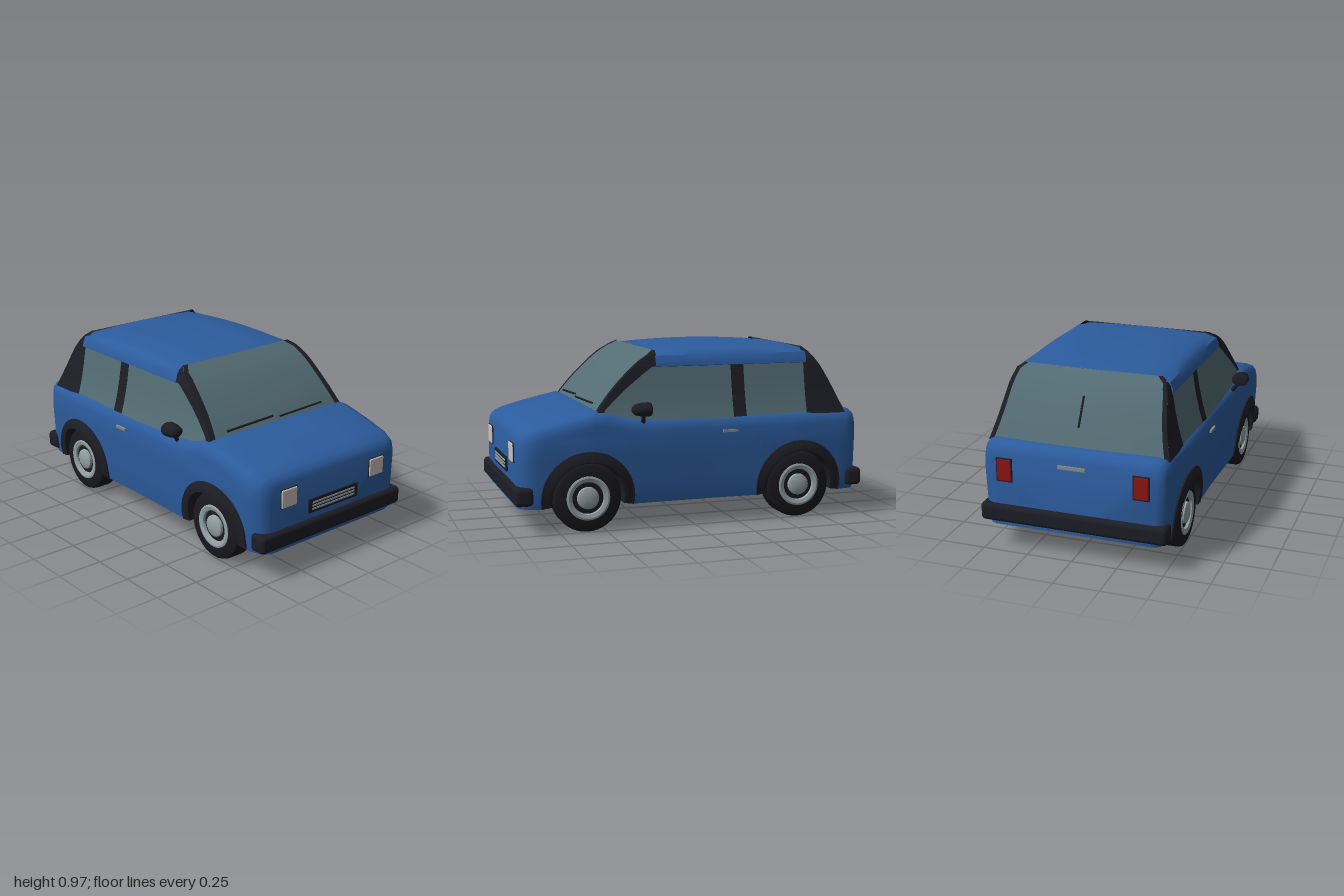
import * as THREE from 'three';
import { toCreasedNormals } from 'three/addons/utils/BufferGeometryUtils.js';
import { RoundedBoxGeometry } from 'three/addons/geometries/RoundedBoxGeometry.js';

const paint = (name, color) => {
  const m = new THREE.MeshStandardMaterial({ color, side: THREE.DoubleSide });
  m.name = name;
  return m;
};

// Piecewise linear lookup in a list of [input, output] pairs
function lerpIn(table, t) {
  if (t <= table[0][0]) return table[0][1];
  for (let i = 1; i < table.length; i++) {
    const [a, va] = table[i - 1], [b, vb] = table[i];
    if (t <= b) return va + (vb - va) * (t - a) / (b - a);
  }
  return table[table.length - 1][1];
}

// Surface through rows of [x, y, z] points
function loft(rows, crease = 0.6) {
  const pos = [];
  const tri = (a, b, c) => {
    const same = (p, q) => p.every((v, i) => Math.abs(v - q[i]) < 1e-6);
    if (!same(a, b) && !same(b, c) && !same(a, c)) pos.push(...a, ...b, ...c);
  };
  for (let i = 0; i + 1 < rows.length; i++)
    for (let j = 0; j + 1 < rows[i].length; j++) {
      const a = rows[i][j], b = rows[i + 1][j], c = rows[i + 1][j + 1], d = rows[i][j + 1];
      tri(a, b, c);
      tri(a, c, d);
    }
  const g = new THREE.BufferGeometry();
  g.setAttribute('position', new THREE.Float32BufferAttribute(pos, 3));
  return toCreasedNormals(g, crease);
}
const steps = (a, b, n) => Array.from({ length: n + 1 }, (_, i) => a + (b - a) * i / n);

// Body outline rules
const WHEELS = [-0.61, 0.6], AXLE = 0.185, ARCH = 0.24, FLOOR = 0.14;
const bodyTop = [[-0.975, 0.54], [-0.96, 0.575], [-0.94, 0.592], [-0.9, 0.6], [0.25, 0.6], [0.4, 0.612], [0.5, 0.638],
  [0.56, 0.642], [0.75, 0.602], [0.88, 0.568], [0.93, 0.55], [0.955, 0.53], [0.968, 0.5]];
const bodyWidth = [[-0.975, 0.45], [-0.96, 0.482], [-0.94, 0.497], [-0.9, 0.508], [-0.6, 0.522], [-0.1, 0.515], [0.6, 0.528],
  [0.88, 0.512], [0.93, 0.495], [0.955, 0.47], [0.968, 0.435]];
const bodyBulge = [[0.14, 0.965], [0.2, 0.985], [0.35, 1], [0.45, 1.01], [0.53, 1]];
const sideZ = (x, y) => lerpIn(bodyWidth, x) * lerpIn(bodyBulge, y);
function bodyBottom(x) {
  for (const c of WHEELS) {
    const d = Math.abs(x - c);
    if (d <= ARCH + 1e-6) return AXLE + Math.sqrt(Math.max(0, ARCH * ARCH - d * d));
  }
  return FLOOR;
}
function bodySection(x) {
  const w = lerpIn(bodyWidth, x), top = lerpIn(bodyTop, x), low = bodyBottom(x), shoulder = top - 0.07;
  const half = steps(low, shoulder, 6).map(y => [x, y, sideZ(x, y)]);
  half.push([x, top - 0.035, 0.988 * w], [x, top - 0.011, 0.95 * w], [x, top, 0.88 * w], [x, top + 0.005, 0.45 * w]);
  return [...half, [x, top + 0.007, 0], ...half.slice().reverse().map(([a, b, c]) => [a, b, -c])];
}

// Cabin outline rules, all by height
const cabinZ = [[0.58, 0.497], [0.65, 0.476], [0.75, 0.453], [0.865, 0.434], [0.925, 0.415], [0.95, 0.38]];
const screenX = [[0.58, 0.575], [0.65, 0.53], [0.72, 0.475], [0.78, 0.42], [0.84, 0.358], [0.89, 0.3], [0.95, 0.2]];
const rearX = [[0.58, -0.895], [0.69, -0.845], [0.77, -0.805], [0.84, -0.765], [0.9, -0.72], [0.95, -0.67]];

export function createModel() {
  const car = new THREE.Group();
  car.name = 'car';
  const blue = paint('blue paint', 0x2c5c9e), black = paint('black trim', 0x1d1d26), glass = paint('window glass', 0x536c74),
    silver = paint('silver', 0x94a2a6), lamp = paint('headlight lens', 0xcdc4bb), red = paint('tail light red', 0x8c1515),
    handleGrey = paint('handle grey', 0x8c8a82), tyreBlack = paint('tyre rubber', 0x19191f);
  const add = (name, geo, mat, parent = car) => {
    const m = new THREE.Mesh(geo, mat);
    m.name = name;
    parent.add(m);
    return m;
  };
  const box = (name, mat, x, y, z, sx, sy, sz, r = 0) => {
    const g = r ? new RoundedBoxGeometry(sx, sy, sz, 3, r) : new THREE.BoxGeometry(sx, sy, sz);
    add(name, g, mat).position.set(x, y, z);
  };

  // Body shell, with wheel openings cut into its lower edge
  let xs = [...bodyTop.map(p => p[0]), ...steps(-0.3, 0.3, 6)];
  for (const c of WHEELS) {
    xs.push(c - ARCH - 0.002, c + ARCH + 0.002, ...steps(0, Math.PI, 18).map(t => c + ARCH * Math.cos(t)));
  }
  xs.sort((a, b) => a - b);
  const rows = xs.map(bodySection);
  const cap = row => row.map(p => [p[0], FLOOR, 0]);
  add('bodyShell', loft([cap(rows[0]), ...rows, cap(rows[rows.length - 1])]), blue);
  add('underside', loft(rows.map(r => [r[0], r[r.length - 1]])), black);
  box('chassis', black, 0, 0.267, 0, 1.8, 0.26, 0.72);

  // Bumpers
  box('frontBumper', black, 0.942, 0.21, 0, 0.1, 0.1, 1.03, 0.025);
  box('rearBumper', black, -0.95, 0.21, 0, 0.1, 0.1, 1.03, 0.025);

  // Cabin sides: strips between two x limits
  const strip = (name, mat, s, y0, y1, left, right) =>
    add(name, loft(steps(y0, y1, 8).map(y => [left(y), right(y)].map(x => [x, y, s * lerpIn(cabinZ, y)]))), mat);
  const at = x => () => x;
  const screen = y => lerpIn(screenX, y), rear = y => lerpIn(rearX, y);
  const postEdge = y => screen(y) - 0.035 - 0.07 * Math.max(0, (y - 0.65) / 0.215);
  for (const s of [1, -1]) {
    strip('rearPillar', black, s, 0.58, 0.95, rear, at(-0.66));
    strip('rearSideWindow', glass, s, 0.58, 0.865, at(-0.66), at(-0.3));
    strip('centrePillar', black, s, 0.58, 0.87, at(-0.3), at(-0.225));
    strip('frontSideWindow', glass, s, 0.58, 0.865, at(-0.225), postEdge);
    strip('frontPillar', black, s, 0.58, 0.865, postEdge, screen);
    strip('frontPillarTop', black, s, 0.865, 0.95, at(0.195), screen);
  }

  // Windscreen and rear window, bowed outwards, with dark edges
  const pane = (name, mat, edge, bow, s0, s1) =>
    add(name, loft(steps(0.58, 0.95, 14).map(y => steps(s0, s1, 10).map(s =>
      [edge(y) + bow * (1 - s * s) * (0.95 - y) / 0.3, y, s * lerpIn(cabinZ, y)]))), mat);
  for (const [name, edge, bow, f] of [['windscreen', screen, 0.02, 0.925], ['rearWindow', rear, -0.025, 0.945]]) {
    pane(name, glass, edge, bow, -f, f);
    pane(name + 'EdgeLeft', black, edge, bow, f, 1);
    pane(name + 'EdgeRight', black, edge, bow, -1, -f);
  }

  // Roof
  add('roof', loft(steps(-0.675, 0.205, 12).map(x => {
    const t = 0.969 - 0.02 * ((x + 0.235) / 0.44) ** 2;
    const half = [[0.43, 0.862], [0.442, 0.866], [0.438, 0.89], [0.424, 0.922], [0.4, t - 0.024], [0.36, t - 0.01], [0.17, t - 0.002]];
    return [...half.map(([z, y]) => [x, y, z]), [x, t, 0], ...half.reverse().map(([z, y]) => [x, y, -z])];
  })), blue);

  // Wheels: lathed about the axle, outer face towards +z
  const turned = pts => toCreasedNormals(new THREE.LatheGeometry(pts.map(p => new THREE.Vector2(...p)), 40).rotateX(Math.PI / 2), 0.5);
  const tyre = turned([[0, -0.065], [0.165, -0.065], [0.18, -0.055], [0.185, -0.04], [0.185, 0.04], [0.18, 0.055], [0.165, 0.063],
    [0.12, 0.066], [0.115, 0.05], [0, 0.05]]);
  const rim = turned([[0.118, 0.05], [0.118, 0.067], [0.108, 0.07], [0.088, 0.064], [0.085, 0.05]]);
  const hub = turned([[0.06, 0.05], [0.058, 0.064], [0.045, 0.07], [0, 0.073]]);
  for (const s of [1, -1]) for (const x of WHEELS) {
    const wheel = new THREE.Group();
    wheel.name = 'wheel';
    wheel.position.set(x, AXLE, s * 0.443);
    if (s < 0) wheel.rotation.y = Math.PI;
    add('tyre', tyre, tyreBlack, wheel);
    add('rim', rim, silver, wheel);
    add('hub', hub, silver, wheel);
    car.add(wheel);

    // Flared arch trim, fullest above the wheel
    const lip = [[0.255, -0.01], [0.253, 0.008], [0.24, 0.014], [0.222, 0.026], [0.2, 0.028], [0.195, 0.022], [0.195, -0.08]];
    add('archTrim', loft(steps(-0.18, Math.PI + 0.18, 32).map(a => lip.map(([r, out]) => {
      const px = x + r * Math.cos(a), py = AXLE + r * Math.sin(a);
      const swell = out > 0.008 ? 0.3 + 0.7 * Math.max(0, Math.sin(a)) : 1;
      return [px, py, s * (sideZ(px, py) + out * swell)];
    }))), black);
  }

  // Lights, door handles and mirrors, mirrored left and right
  const mirrorShape = new THREE.LatheGeometry([[0, 0], [0.9, 0], [1, 0.12], [0.97, 0.5], [0.75, 0.85], [0.4, 1], [0, 1]]
    .map(p => new THREE.Vector2(...p)), 20).rotateZ(-Math.PI / 2).scale(0.1, 0.038, 0.048);
  for (const s of [1, -1]) {
    box('headlightFrame', black, 0.968, 0.426, s * 0.322, 0.012, 0.104, 0.11);
    box('headlight', lamp, 0.973, 0.426, s * 0.322, 0.014, 0.1, 0.106, 0.006);
    box('tailLightFrame', black, -0.977, 0.455, s * 0.375, 0.012, 0.13, 0.088);
    box('tailLight', red, -0.981, 0.455, s * 0.375, 0.012, 0.12, 0.078, 0.005);
    box('doorHandle', handleGrey, -0.195, 0.512, s * 0.521, 0.085, 0.014, 0.016);
    add('mirror', mirrorShape, black).position.set(0.27, 0.653, s * 0.552);
    const arm = new THREE.LineCurve3(new THREE.Vector3(0.295, 0.575, s * 0.5), new THREE.Vector3(0.305, 0.64, s * 0.545));
    add('mirrorArm', new THREE.TubeGeometry(arm, 1, 0.012, 8), black);
  }
  box('tailgateHandle', handleGrey, -0.978, 0.512, 0, 0.014, 0.018, 0.15);

  // Grille
  box('grille', black, 0.97, 0.332, 0, 0.014, 0.076, 0.36);
  for (const y of [0.314, 0.332, 0.35]) box('grilleBar', silver, 0.976, y, 0, 0.01, 0.009, 0.31);

  // Wipers
  const wiper = (name, a, b) =>
    add(name, new THREE.TubeGeometry(new THREE.LineCurve3(new THREE.Vector3(...a), new THREE.Vector3(...b)), 1, 0.006, 6), black);
  wiper('wiperLeft', [0.53, 0.662, 0.36], [0.536, 0.676, 0.035]);
  wiper('wiperRight', [0.545, 0.666, -0.01], [0.532, 0.67, -0.335]);
  wiper('rearWiper', [-0.872, 0.695, 0], [-0.79, 0.84, 0]);
  return car;
}
